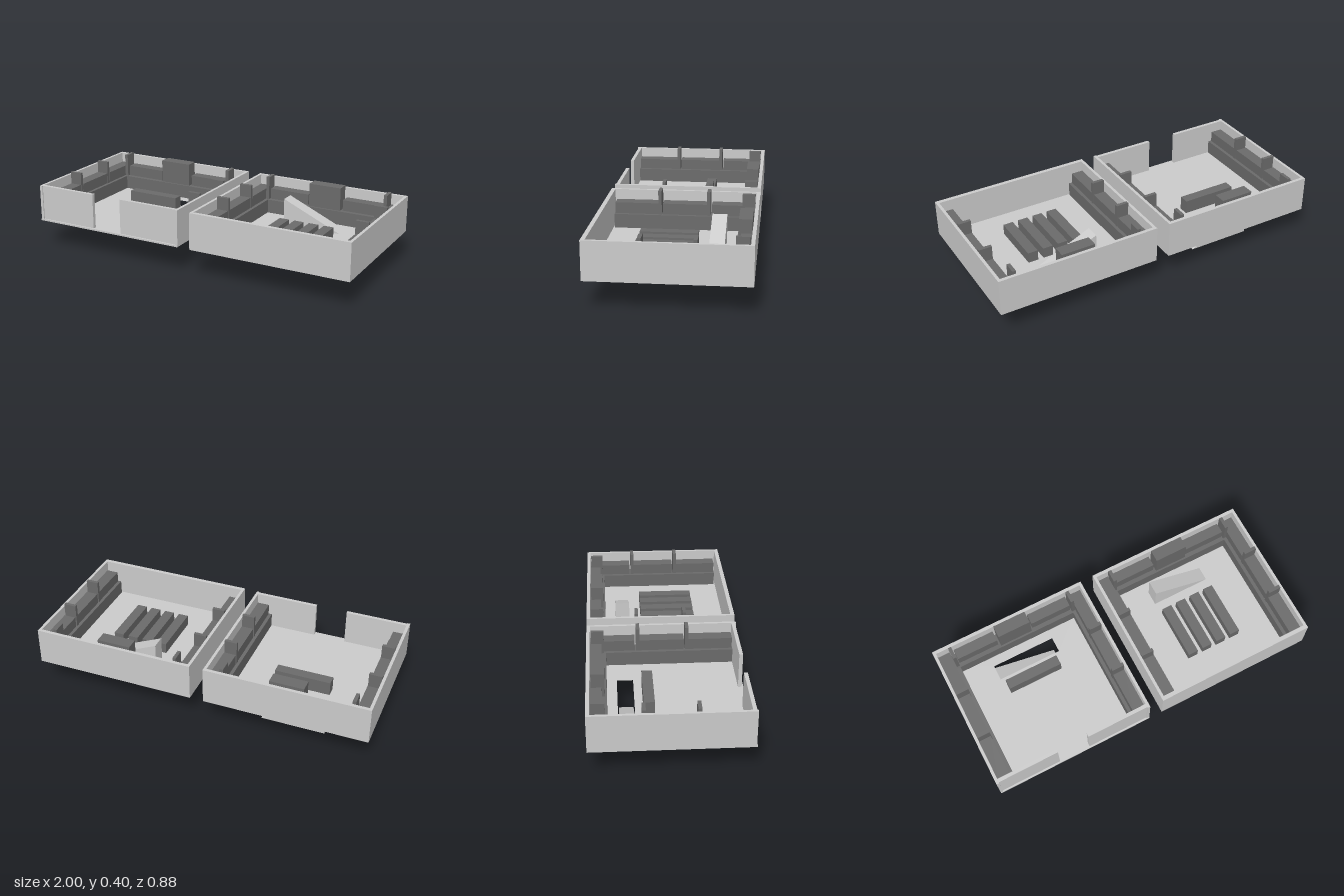
import * as THREE from 'three';

const wallMat = new THREE.MeshStandardMaterial({ color: 0xcccccc, flatShading: true });
const darkMat = new THREE.MeshStandardMaterial({ color: 0x6b6b6b, flatShading: true });

const BASE = 0.167, FLOOR = 0.177, TOP = 0.385, POST_TOP = 0.4, BENCH_TOP = 0.26, CASE_TOP = 0.325;

// Box given by its minimum and maximum on each axis
function box(group, name, mat, x0, x1, y0, y1, z0, z1) {
  const mesh = new THREE.Mesh(new THREE.BoxGeometry(x1 - x0, y1 - y0, z1 - z0), mat);
  mesh.position.set((x0 + x1) / 2, (y0 + y1) / 2, (z0 + z1) / 2);
  mesh.name = name;
  group.add(mesh);
}

// Wedge, tall at x0 and falling to nothing at x1
function ramp(group, name, x0, x1, y0, y1) {
  const shape = new THREE.Shape([[x0, y0], [x1, y0], [x0, y1]].map(p => new THREE.Vector2(...p)));
  const geo = new THREE.ExtrudeGeometry(shape, { depth: 0.084, bevelEnabled: false });
  const mesh = new THREE.Mesh(geo, wallMat);
  mesh.position.z = -0.267;
  mesh.name = name;
  group.add(mesh);
}

// Floor slab, optionally with a stair opening
function floor(group, hole) {
  const rect = (C, x0, x1, z0, z1) => {
    const s = new C();
    s.moveTo(x0, -z0); s.lineTo(x1, -z0); s.lineTo(x1, -z1); s.lineTo(x0, -z1); s.closePath();
    return s;
  };
  const shape = rect(THREE.Shape, -0.48, 0.48, -0.442, 0.434);
  if (hole) shape.holes.push(rect(THREE.Path, -0.19, 0.195, -0.275, -0.183));
  const geo = new THREE.ExtrudeGeometry(shape, { depth: FLOOR - BASE, bevelEnabled: false });
  geo.rotateX(-Math.PI / 2);
  const mesh = new THREE.Mesh(geo, wallMat);
  mesh.position.y = BASE;
  mesh.name = 'floor';
  group.add(mesh);
}

// Outer walls and the fitted shelving shared by both rooms
function room(name, cx, doorway) {
  const g = new THREE.Group();
  g.name = name;
  g.position.x = cx;
  floor(g, doorway);

  box(g, 'backWall', wallMat, -0.48, 0.48, BASE, TOP, -0.442, -0.422);
  if (doorway) {
    box(g, 'frontWallRight', wallMat, -0.48, -0.1, BASE, TOP, 0.403, 0.424);
    box(g, 'frontWallLeft', wallMat, 0.09, 0.48, BASE, TOP, 0.403, 0.424);
  } else {
    box(g, 'frontWall', wallMat, -0.48, 0.48, BASE, TOP, 0.41, 0.434);
  }

  // Back bench, bookcases, posts and tall centre cabinet
  box(g, 'backBench', darkMat, -0.463, 0.463, BASE - 0.001, BENCH_TOP, -0.424, -0.332);
  box(g, 'centreCabinet', darkMat, -0.1, 0.1, BASE - 0.003, POST_TOP, -0.417, -0.343);

  for (const s of [-1, 1]) {
    const side = (part, mat, a, b, y0, y1, z0, z1) =>
      box(g, part, mat, Math.min(s * a, s * b), Math.max(s * a, s * b), y0, y1, z0, z1);
    side('sideWall', wallMat, 0.463, 0.48, BASE, TOP, -0.442, 0.43);
    side('backBookcase', darkMat, 0.112, 0.363, BENCH_TOP - 0.01, CASE_TOP, -0.422, -0.358);
    side('backPost', darkMat, 0.368, 0.388, BASE - 0.003, POST_TOP, -0.417, -0.343);
    side('sideBench', darkMat, 0.37, 0.464, BASE - 0.001, BENCH_TOP, -0.332, 0.403);
    for (const [z0, z1] of [[-0.42, -0.165], [-0.137, 0.12], [0.145, 0.4]])
      side('sideBookcase', darkMat, 0.39, 0.462, BENCH_TOP - 0.01, CASE_TOP, z0, z1);
    for (const z of [-0.147, 0.137])
      side('sidePost', darkMat, 0.387, 0.462, BASE - 0.003, POST_TOP, z - 0.01, z + 0.01);
  }
  return g;
}

export function createModel() {
  const model = new THREE.Group();

  // Room with the doorway, a counter and a stair going down
  const entry = room('entryRoom', -0.52, true);
  box(entry, 'counter', darkMat, -0.17, 0.16, FLOOR - 0.005, 0.26, -0.137, -0.077);
  ramp(entry, 'stairDown', -0.19, 0.19, 0, BASE);
  model.add(entry);

  // Closed room with four long tables and a stair rising inside
  const hall = room('tableRoom', 0.52, false);
  for (let i = 0; i < 4; i++) {
    const x = -0.152 + i * 0.0935;
    box(hall, 'table', darkMat, x - 0.03, x + 0.03, FLOOR - 0.005, 0.24, -0.11, 0.22);
  }
  ramp(hall, 'stairUp', -0.19, 0.19, BASE - 0.001, 0.335);
  model.add(hall);

  return model;
}
